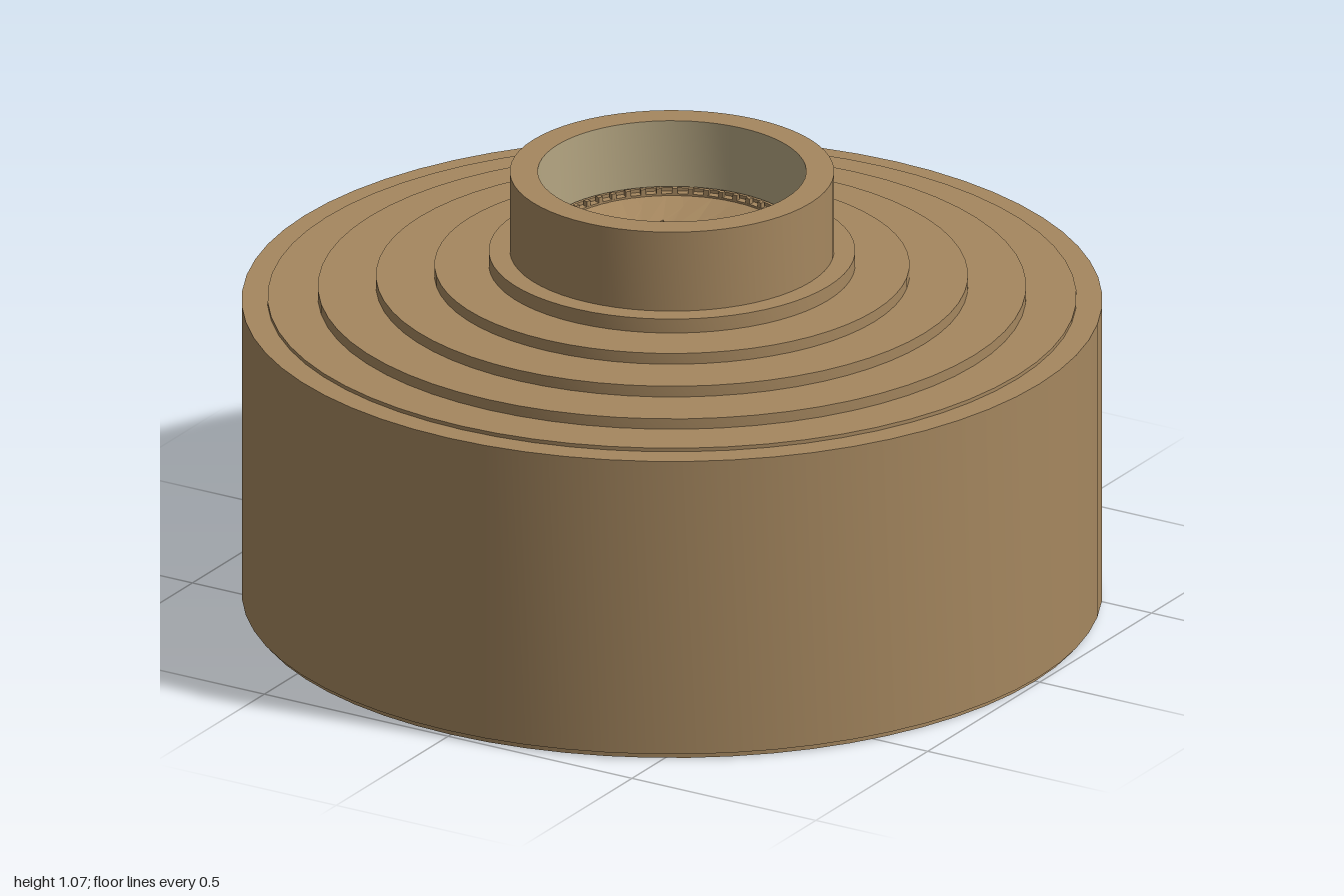
import * as THREE from 'three';
import { toCreasedNormals } from 'three/addons/utils/BufferGeometryUtils.js';

const mat = (name, color) => {
  const m = new THREE.MeshStandardMaterial({ color });
  m.name = name;
  return m;
};

export function createModel() {
  const model = new THREE.Group();
  model.name = 'steppedDrum';
  const tan = mat('tan', 0xa5875f);
  const pale = mat('paleLining', 0xb5a682);
  const dark = mat('darkFloor', 0x1f2225);

  const add = (name, geometry, material, parent = model) => {
    const mesh = new THREE.Mesh(geometry, material);
    mesh.name = name;
    parent.add(mesh);
    return mesh;
  };
  const lathe = (name, pts, material, segments = 64) => add(name, toCreasedNormals(
    new THREE.LatheGeometry(pts.map(([r, y]) => new THREE.Vector2(r, y)), segments), 0.5), material);
  // Flat-topped ring with real thickness
  const ring = (name, inner, outer, y0, y1, material) => lathe(name,
    [[inner, y0], [outer, y0], [outer, y1], [inner, y1], [inner, y0]], material);

  // Drum, shallow roof steps and the raised collar
  const profile = [[0, 0], [0.988, 0], [0.988, 0.014], [1, 0.014], [1, 0.748]];
  const steps = [[0.94, 0.757], [0.823, 0.783], [0.688, 0.81], [0.552, 0.837], [0.426, 0.872], [0.377, 1.07]];
  for (const [r, y] of steps) profile.push([r, profile.at(-1)[1]], [r, y]);
  profile.push([0.312, 1.07]);
  lathe('drumAndRoof', profile, tan);

  // Well inside the collar
  lathe('collarLining', [[0.312, 1.07], [0.312, 0.9]], pale);
  lathe('wellLedge', [[0.312, 0.9], [0.28, 0.9], [0.28, 0.8]], tan);
  ring('ledgeRim', 0.298, 0.306, 0.9, 0.908, tan);
  lathe('wellFloor', [[0.28, 0.8], [0, 0.8]], dark);

  // Small studs around the ledge
  const studs = new THREE.Group();
  studs.name = 'ledgeStuds';
  model.add(studs);
  const studGeometry = new THREE.BoxGeometry(0.012, 0.014, 0.012);
  for (let i = 0; i < 48; i++) {
    const a = (i / 48) * Math.PI * 2;
    const stud = add('stud', studGeometry, tan, studs);
    stud.position.set(Math.cos(a) * 0.286, 0.906, Math.sin(a) * 0.286);
    stud.rotation.y = -a;
  }

  // Overlapping swirl of curved blades with saw-toothed inner ends
  const blades = new THREE.Group();
  blades.name = 'swirlBlades';
  model.add(blades);
  const count = 16;
  const step = (Math.PI * 2) / count;
  const polar = (r, a) => [r * Math.cos(a), r * Math.sin(a)];
  const blade = new THREE.Shape();
  blade.moveTo(...polar(0.281, 0));
  blade.absarc(0, 0, 0.281, 0, step * 1.02, false);
  blade.quadraticCurveTo(...polar(0.225, step * 1.15), ...polar(0.205, step * 1.65));
  blade.lineTo(...polar(0.172, step * 1.5));
  blade.lineTo(...polar(0.205, step * 0.65));
  blade.quadraticCurveTo(...polar(0.225, step * 0.15), ...polar(0.281, 0));
  const bladeGeometry = new THREE.ExtrudeGeometry(blade, { depth: 0.012, bevelEnabled: false, curveSegments: 6 });
  bladeGeometry.rotateX(-Math.PI / 2);
  // Dish the blades down towards the centre
  const p = bladeGeometry.attributes.position;
  for (let i = 0; i < p.count; i++) {
    const r = Math.hypot(p.getX(i), p.getZ(i));
    p.setY(i, p.getY(i) + 0.84 + (r - 0.172) * 0.4);
  }
  bladeGeometry.computeVertexNormals();
  for (let i = 0; i < count; i++) add('blade', bladeGeometry, tan, blades).rotation.y = i * step;

  // Rings, spokes and frame on the dark floor
  ring('innerRing', 0.16, 0.175, 0.8, 0.84, tan);
  ring('hubRing', 0.085, 0.09, 0.8, 0.815, tan);
  ring('centreRing', 0.038, 0.043, 0.8, 0.815, tan);
  const bar = (name, w, d, x, z) =>
    add(name, new THREE.BoxGeometry(w, 0.012, d), tan).position.set(x, 0.807, z);
  for (const s of [-1, 1]) {
    bar('spokeX', 0.045, 0.005, s * 0.138, 0);
    bar('spokeZ', 0.005, 0.07, 0, s * 0.125);
    bar('frameSide', 0.005, 0.125, s * 0.115, 0);
    bar('frameRail', 0.235, 0.005, 0, s * 0.063);
  }
  bar('centreBlock', 0.018, 0.018, 0, 0);

  // Dashes around the hub
  for (let i = 0; i < 24; i++) {
    const a = (i / 24) * Math.PI * 2;
    const dash = add('hubDash', new THREE.BoxGeometry(0.006, 0.01, 0.009), tan);
    dash.position.set(Math.cos(a) * 0.078, 0.805, Math.sin(a) * 0.078);
    dash.rotation.y = -a;
  }
  return model;
}
